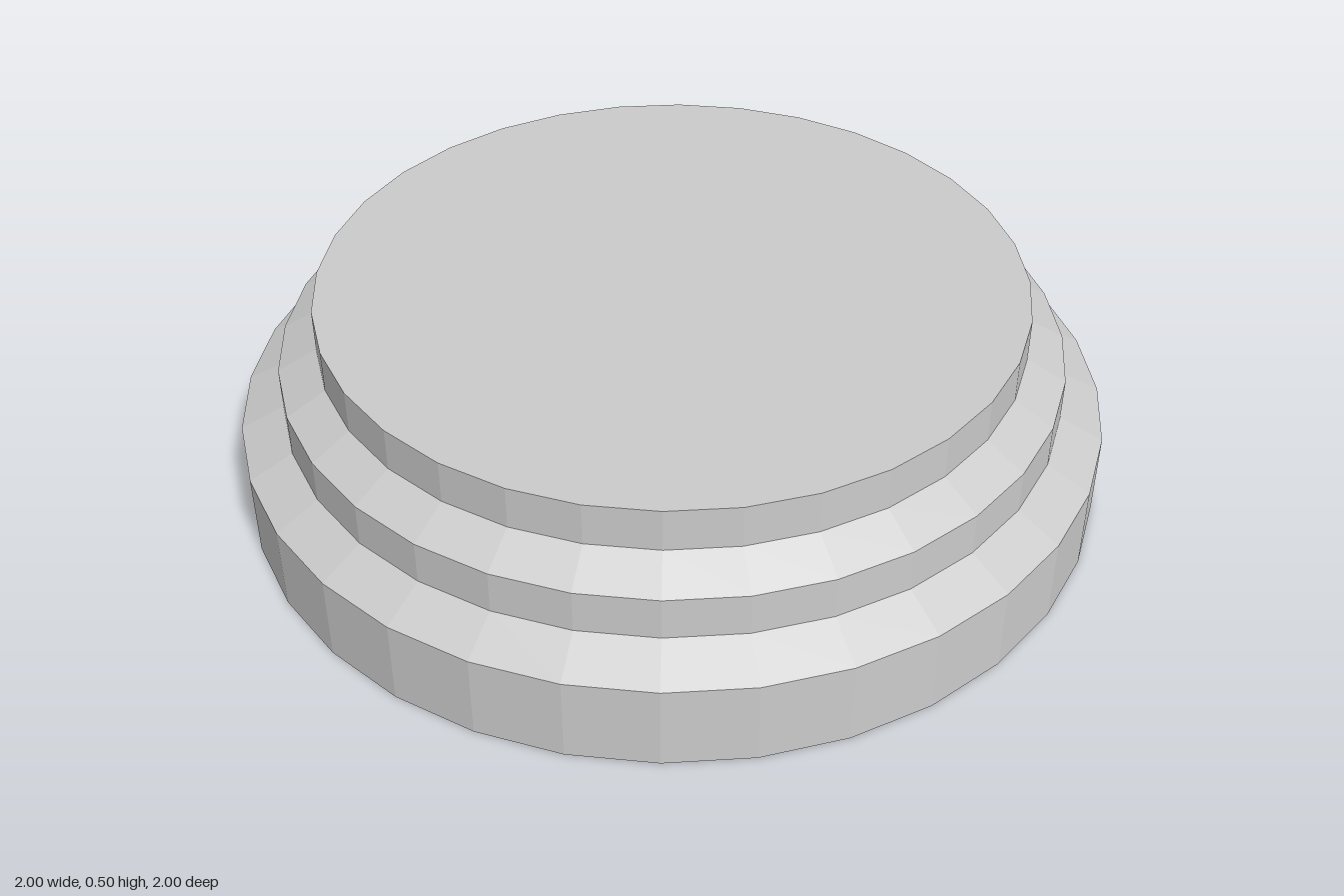
import * as THREE from 'three';

const SIDES = 32;

// Stepped outline from the centre of the underside to the centre of the top: [radius, height]
const PROFILE = [
  [0, 0],
  [1, 0], [1, 0.2],        // base tier
  [0.9, 0.25], [0.9, 0.35], // bevel and middle tier
  [0.81, 0.4], [0.81, 0.5], // bevel and top tier
  [0, 0.5],
];

export function createModel() {
  const group = new THREE.Group();
  group.name = 'steppedRoundBase';

  // Faceted solid of revolution, closed at top and bottom
  const points = PROFILE.map(([r, y]) => new THREE.Vector2(r, y));
  const material = new THREE.MeshStandardMaterial({ color: 0xcccccc, flatShading: true });
  const plinth = new THREE.Mesh(new THREE.LatheGeometry(points, SIDES), material);
  plinth.name = 'plinth';
  group.add(plinth);

  return group;
}
